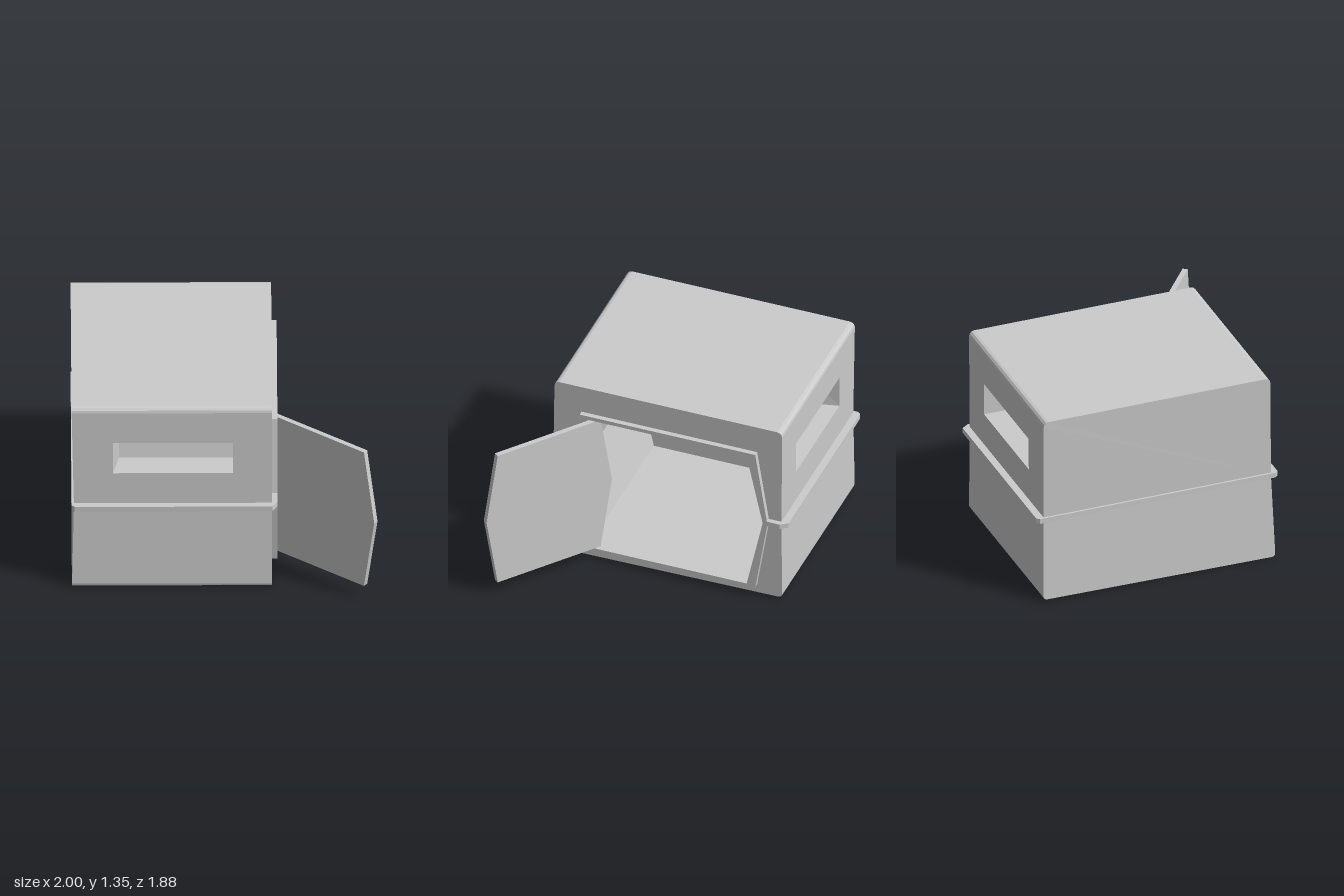
import * as THREE from 'three';

const MAT = new THREE.MeshStandardMaterial({ color: 0xcccccc, flatShading: true, side: THREE.DoubleSide });
const RIGHT = 0.31, END = -0.85, MID = 0.61, TRIM = 0.035;
const V = (x, y, z) => new THREE.Vector3(x, y, z);
const lerp = THREE.MathUtils.lerp;

// Hexagonal outline as [z, y], running round from the upper front corner
const hexagon = (front, back, tip, bottom, top) => [
  [front, top], [back, top], [back - tip, 0.607], [back, bottom], [front, bottom], [front + tip, 0.607]];
const INNER = hexagon(0.455, -0.66, 0.112, 0.09, 1.12);
const OUTER = hexagon(0.51, -0.72, 0.085, 0.075, 1.147);

// Rounded corner as [z, y] points
function corner(z, y, r, from) {
  return [0, 1, 2, 3].map(i => {
    const a = from + i * Math.PI / 6;
    return [z + r * Math.cos(a), y + r * Math.sin(a)];
  });
}
// Half outlines of the shell, upper and lower, split at the waist
const UPPER = [[0.71, MID], ...corner(0.665, 1.31, 0.035, 0), ...corner(-0.86, 1.31, 0.035, Math.PI / 2), [-0.89, MID]];
const LOWER = [[-0.89, MID], ...corner(-0.87, 0.04, 0.025, Math.PI), ...corner(0.71, 0.025, 0.025, Math.PI * 1.5), [0.71, MID]];

// The left wall is pinched slightly at the waist
const leftX = y => -1 + 0.015 * (1 - Math.min(1, Math.abs(y - MID) / 0.7));

// Collects convex panels, each turned to face a given point (or away from it)
function panels() {
  const pos = [];
  return {
    add(pts, point, away) {
      const n = V(0, 0, 0);
      for (let i = 1; i < pts.length - 1; i++)
        n.add(pts[i].clone().sub(pts[0]).cross(pts[i + 1].clone().sub(pts[0])));
      const facing = n.dot(point.clone().sub(pts[0])) > 0;
      const p = facing === !away ? pts : [...pts].reverse();
      for (let i = 1; i < p.length - 1; i++)
        for (const v of [p[0], p[i], p[i + 1]]) pos.push(v.x, v.y, v.z);
    },
    loft(a, b, point, away) {
      a.forEach((_, i) => {
        const j = (i + 1) % a.length;
        this.add([a[i], a[j], b[j], b[i]], point, away);
      });
    },
    mesh(name) {
      const g = new THREE.BufferGeometry();
      g.setAttribute('position', new THREE.Float32BufferAttribute(pos, 3));
      g.computeVertexNormals();
      return named(g, name);
    }
  };
}

function named(geometry, name) {
  const m = new THREE.Mesh(geometry, MAT);
  m.name = name;
  return m;
}

// Shape from [z, y] points that faces +x after a quarter turn
function sideShape(pts, hole) {
  const s = new THREE.Shape(pts.map(([z, y]) => new THREE.Vector2(-z, y)));
  if (hole) s.holes.push(new THREE.Path(hole.map(([z, y]) => new THREE.Vector2(-z, y))));
  return s;
}

// Wall with a deep window through to the slanted interior wall
function windowWall(name, bottom, top, innerBottom, innerTop) {
  const wall = panels();
  const at = (p, q, y) => lerp(p[0], q[0], (y - p[1]) / (q[1] - p[1]));
  const rect = (p, q, x0, x1, y0, y1) => [[x0, y0], [x1, y0], [x1, y1], [x0, y1]]
    .map(([x, y]) => V(x ?? leftX(y), y, at(p, q, y)));
  const edge = rect(bottom, top, null, RIGHT, bottom[1], top[1]);
  const hole = rect(bottom, top, -0.73, 0.055, 0.855, 1.085);
  const innerHole = rect(innerBottom, innerTop, -0.69, 0.055, 0.855, 1.085);
  const innerEdge = rect(innerBottom, innerTop, END, RIGHT, innerBottom[1], innerTop[1]);
  const room = V(-0.3, 0.6, -0.1);
  wall.loft(edge, hole, room, true);
  wall.loft(hole, innerHole, V(-0.33, 0.97, (hole[0].z + innerHole[0].z) / 2));
  wall.loft(innerHole, innerEdge, room);
  return wall.mesh(name);
}

function shell() {
  const group = new THREE.Group();
  group.name = 'shell';
  const centre = V(-0.34, 0.65, -0.1);
  const skin = panels();
  // outer skin along x, leaving the upper front and back to the window walls
  const strip = ([z0, y0], [z1, y1]) => skin.add(
    [V(leftX(y0), y0, z0), V(RIGHT, y0, z0), V(RIGHT, y1, z1), V(leftX(y1), y1, z1)], centre, true);
  for (let i = 1; i < UPPER.length - 2; i++) strip(UPPER[i], UPPER[i + 1]);
  for (let i = 0; i < LOWER.length - 1; i++) strip(LOWER[i], LOWER[i + 1]);
  for (const half of [UPPER, LOWER]) skin.add(half.map(([z, y]) => V(leftX(y), y, z)), centre, true);
  group.add(skin.mesh('outerSkin'));

  // interior ceiling, lower walls, floor and end wall
  const room = panels();
  for (const i of [0, 2, 3, 4]) {
    const [z0, y0] = INNER[i], [z1, y1] = INNER[(i + 1) % 6];
    room.add([V(END, y0, z0), V(RIGHT, y0, z0), V(RIGHT, y1, z1), V(END, y1, z1)], centre);
  }
  room.add(INNER.map(([z, y]) => V(END, y, z)), centre);
  group.add(room.mesh('interior'));

  group.add(windowWall('frontWindowWall', UPPER[0], UPPER[1], INNER[5], INNER[0]));
  group.add(windowWall('backWindowWall', UPPER.at(-1), UPPER.at(-2), INNER[2], INNER[1]));

  // wall around the doorway
  const outline = [...UPPER, ...LOWER.slice(1, -1)];
  group.add(named(new THREE.ShapeGeometry(sideShape(outline, INNER)).rotateY(Math.PI / 2).translate(RIGHT, 0, 0), 'doorWall'));
  return group;
}

export function createModel() {
  const model = new THREE.Group();
  model.name = 'shelter';
  model.add(shell());

  // raised frame around the doorway
  const frame = new THREE.ExtrudeGeometry(sideShape(OUTER, INNER), { depth: TRIM, bevelEnabled: false });
  model.add(named(frame.rotateY(Math.PI / 2).translate(RIGHT, 0, 0), 'doorFrame'));

  // waist rail running from one side of the frame round to the other
  const x1 = RIGHT + TRIM;
  const rail = [[x1, 0.59], [x1, 0.7], [RIGHT, 0.757], [-0.98, 0.757], [-1, 0.735], [-1, -0.92], [-0.98, -0.94],
    [RIGHT, -0.94], [x1, -0.89], [x1, -0.8], [RIGHT, -0.8], [RIGHT, -0.885], [-0.98, -0.885], [-0.98, 0.7],
    [RIGHT, 0.7], [RIGHT, 0.59]];
  const railShape = new THREE.Shape(rail.map(([x, z]) => new THREE.Vector2(x, -z)));
  const railGeo = new THREE.ExtrudeGeometry(railShape, { depth: 0.035, bevelEnabled: false });
  model.add(named(railGeo.rotateX(-Math.PI / 2).translate(0, 0.593, 0), 'waistRail'));

  // open door leaf, swung outward
  const L = 0.952, tip = 0.085;
  const leaf = new THREE.Shape([[tip, 0.095], [L - tip, 0.095], [L, 0.607], [L - tip, 1.12], [tip, 1.12], [0, 0.607]]
    .map(([x, y]) => new THREE.Vector2(x, y)));
  const door = named(new THREE.ExtrudeGeometry(leaf, { depth: 0.035, bevelEnabled: false }), 'door');
  door.position.set(0.247, 0, 0.322);
  door.rotation.y = -Math.atan2(0.616, 0.787);
  model.add(door);
  return model;
}
